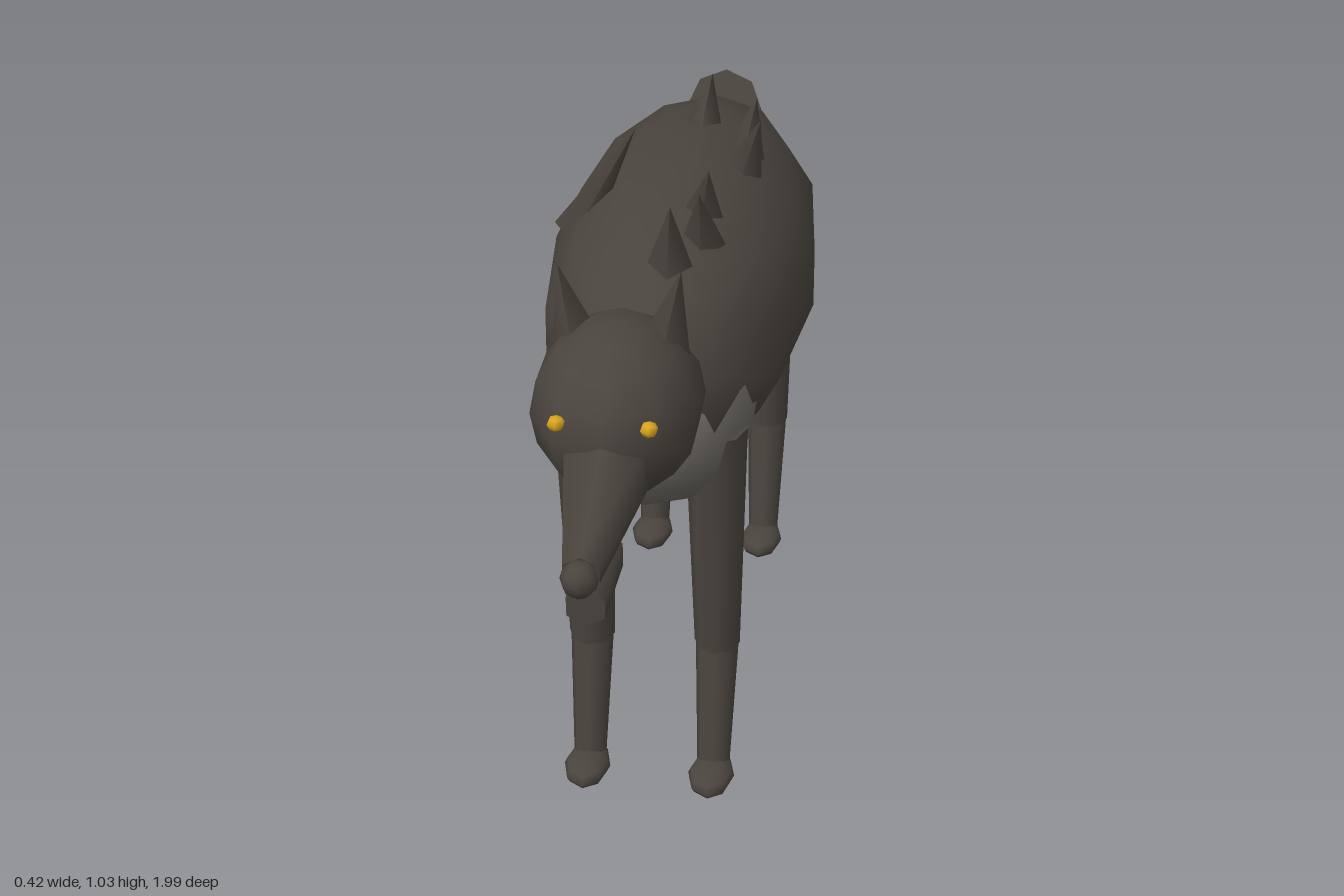
import * as THREE from 'three';

export function createModel() {
  const model = new THREE.Group();
  const fur = new THREE.MeshStandardMaterial({ color: 0x4a443e });
  const chestFur = new THREE.MeshStandardMaterial({ color: 0x6b6761 });
  const amber = new THREE.MeshStandardMaterial({ color: 0xdaa520 });
  fur.name = 'darkFur';
  chestFur.name = 'chestFur';
  amber.name = 'amber';

  function add(name, geometry, material) {
    const mesh = new THREE.Mesh(geometry, material);
    mesh.name = name;
    model.add(mesh);
    return mesh;
  }

  // Low-poly ellipsoid with a column of vertices on the front
  function ellipsoid(name, center, radii, cols, rows, material = fur) {
    const g = new THREE.SphereGeometry(1, cols, rows).rotateY(Math.PI / 2);
    g.scale(...radii);
    add(name, g, material).position.set(...center);
  }

  // Tapered limb from a to b
  function limb(name, a, b, ra, rb, sides) {
    const start = new THREE.Vector3(...a);
    const end = new THREE.Vector3(...b);
    const dir = end.clone().sub(start);
    const g = rb > 0
      ? new THREE.CylinderGeometry(rb, ra, dir.length(), sides)
      : new THREE.ConeGeometry(ra, dir.length(), sides);
    const mesh = add(name, g, fur);
    mesh.position.copy(start).add(end).multiplyScalar(0.5);
    mesh.quaternion.setFromUnitVectors(new THREE.Vector3(0, 1, 0), dir.normalize());
  }

  // Body and chest
  ellipsoid('body', [0, 0.705, -0.05], [0.215, 0.215, 0.53], 12, 7);
  ellipsoid('chest', [0, 0.64, 0.25], [0.16, 0.15, 0.22], 10, 8, chestFur);

  // Head, snout, jaw and nose
  ellipsoid('head', [0, 0.837, 0.637], [0.122, 0.126, 0.153], 10, 8);
  limb('snout', [0, 0.8, 0.72], [0, 0.757, 0.955], 0.07, 0.028, 6);
  limb('jaw', [0, 0.697, 0.805], [0, 0.686, 0.927], 0.036, 0.03, 6);
  ellipsoid('nose', [0, 0.757, 0.968], [0.026, 0.026, 0.026], 8, 6);

  for (const s of [1, -1]) {
    // Ears and eyes
    limb('ear', [s * 0.06, 0.91, 0.61], [s * 0.085, 1.035, 0.618], 0.037, 0, 4);
    ellipsoid('eye', [s * 0.063, 0.874, 0.772], [0.013, 0.011, 0.013], 6, 4, amber);

    // Legs: hip, knee, ankle and paw positions along z
    for (const [name, hip, knee, ankle, paw] of [
      ['front', 0.337, 0.305, 0.345, 0.373],
      ['rear', -0.405, -0.427, -0.382, -0.352],
    ]) {
      const x = s * 0.1;
      limb(name + 'UpperLeg', [x, 0.64, hip], [x, 0.233, knee], 0.048, 0.036, 8);
      limb(name + 'LowerLeg', [x, 0.23, knee], [x, 0.025, ankle], 0.034, 0.026, 8);
      ellipsoid(name + 'Paw', [x, 0.022, paw], [0.037, 0.021, 0.06], 8, 6);
    }
  }

  // Tail
  limb('tail', [0, 0.775, -0.57], [0, 0.556, -0.98], 0.065, 0.024, 8);

  // Matted fur spikes along the back: base and tip
  const spikes = [
    [[0.02, 0.87, 0.265], [0.025, 0.98, 0.3]],
    [[0.06, 0.87, 0.185], [0.06, 0.975, 0.24]],
    [[0.05, 0.88, 0.12], [0.065, 0.98, 0.165]],
    [[-0.165, 0.805, 0.04], [-0.065, 0.988, 0.037]],
    [[0.09, 0.88, -0.05], [0.123, 0.988, -0.02]],
    [[0.085, 0.88, -0.125], [0.105, 0.98, -0.13]],
    [[0.01, 0.89, -0.19], [0.022, 0.98, -0.22]],
  ];
  for (const [base, tip] of spikes) limb('furSpike', base, tip, 0.034, 0, 4);

  return model;
}
